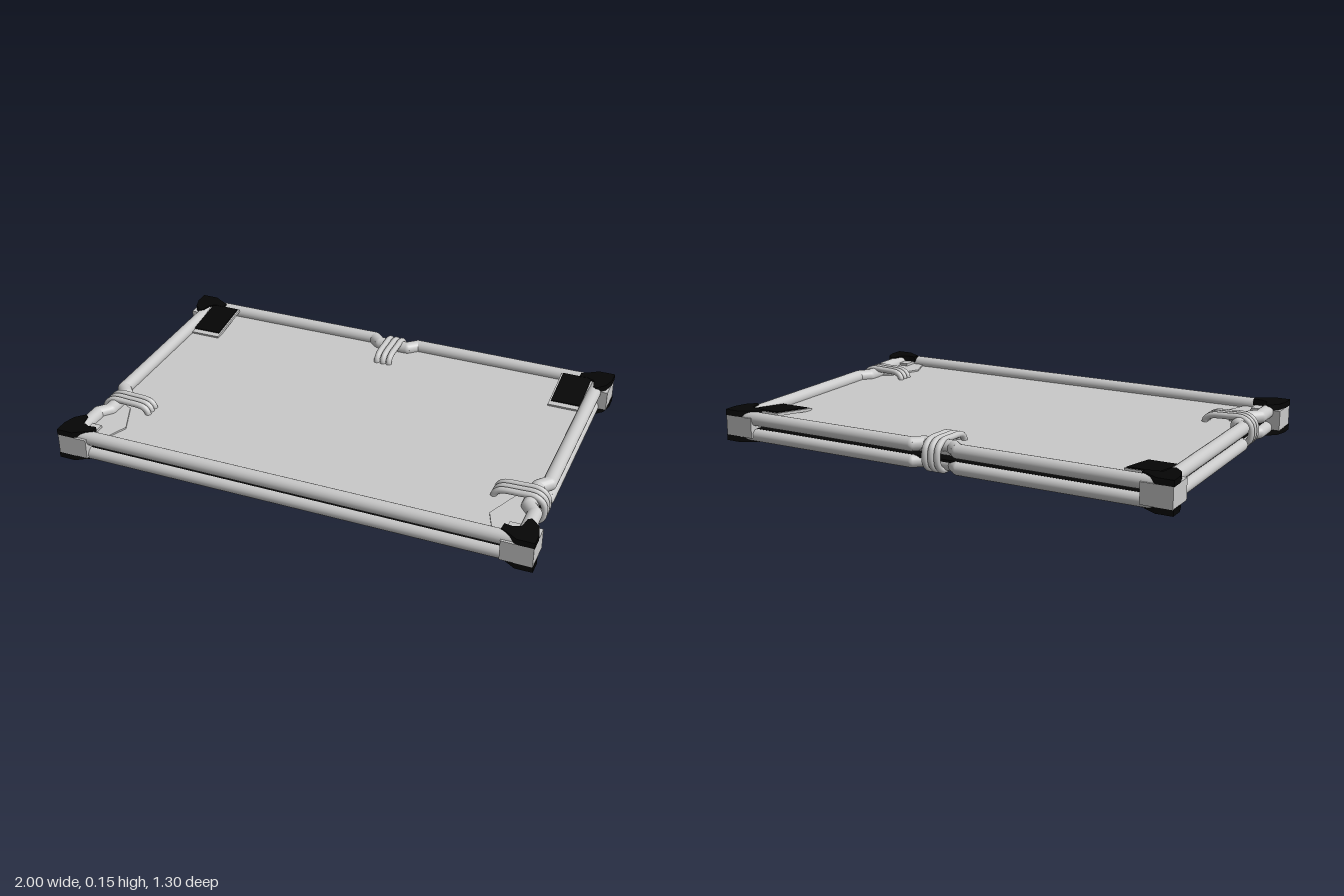
import * as THREE from 'three';

const grey = new THREE.MeshStandardMaterial({ color: 0xc9c9c9 });
grey.name = 'light grey';
const black = new THREE.MeshStandardMaterial({ color: 0x050505 });
black.name = 'black';

const MID = 0.071; // height about which the two layers mirror

function add(parent, name, geometry, material, x = 0, y = 0, z = 0) {
  const mesh = new THREE.Mesh(geometry, material);
  mesh.name = name;
  mesh.position.set(x, y, z);
  parent.add(mesh);
  return mesh;
}

// Flat slab from an outline in x,z, with its underside at y
function slab(parent, name, shape, material, y, height) {
  const g = new THREE.ExtrudeGeometry(shape, { depth: height, bevelEnabled: false, curveSegments: 32 });
  g.rotateX(-Math.PI / 2);
  return add(parent, name, g, material, 0, y, 0);
}
const outline = (pts) => new THREE.Shape(pts.map(([x, z]) => new THREE.Vector2(x, -z)));

// Pipe made of straight runs with round elbows
function pipe(parent, name, pts, y, r) {
  const group = new THREE.Group();
  group.name = name;
  parent.add(group);
  const p = pts.map(([x, z]) => new THREE.Vector3(x, y, z));
  for (let i = 0; i < p.length - 1; i++) {
    const dir = p[i + 1].clone().sub(p[i]);
    const run = add(group, name + 'Run', new THREE.CylinderGeometry(r, r, dir.length(), 20), grey);
    run.position.copy(p[i]).addScaledVector(dir, 0.5);
    run.quaternion.setFromUnitVectors(new THREE.Vector3(0, 1, 0), dir.normalize());
    if (i > 0) add(group, name + 'Elbow', new THREE.SphereGeometry(r, 20, 12), grey, p[i].x, y, p[i].z);
  }
}

// Three open cord loops round the frame edge, ending on the panels along local -x
function lashing(parent, name, x, z, turn) {
  const group = new THREE.Group();
  group.name = name;
  group.position.set(x, 0, z);
  group.rotation.y = turn;
  parent.add(group);
  const top = [[0, 0.1], [-0.03, 0.127], [-0.1, 0.129], [-0.175, 0.122], [-0.195, 0.103], [-0.197, 0.087]];
  const bottom = top.map(([a, b]) => [a, 2 * MID - b]).reverse();
  const path = new THREE.CatmullRomCurve3([...bottom, ...top].map(([a, b]) => new THREE.Vector3(a, b, 0)));
  for (const dz of [-0.028, 0, 0.028])
    add(group, 'cordLoop', new THREE.TubeGeometry(path, 60, 0.0135, 10), grey, 0, 0, dz);
}

export function createModel() {
  const model = new THREE.Group();
  model.name = 'lashedFramePanel';

  // Two stacked panels inside the frame
  add(model, 'topPanel', new THREE.BoxGeometry(1.87, 0.014, 1.22), grey, 0, 0.088, 0);
  add(model, 'bottomPanel', new THREE.BoxGeometry(1.87, 0.01, 1.22), black, 0, 0.057, 0);

  // Underside decoration: two concave grey fields and a hub
  const R = 0.46, h = 0.32, a = Math.asin(h / R);
  for (const s of [-1, 1]) {
    const field = new THREE.Shape();
    field.moveTo(s * 0.74, -h);
    field.lineTo(s * 0.74, h);
    field.lineTo(s * R * Math.cos(a), h);
    if (s > 0) field.absarc(0, 0, R, a, -a, true);
    else field.absarc(0, 0, R, Math.PI - a, Math.PI + a, false);
    slab(model, 'undersideField', field, grey, 0.05, 0.004);
  }
  slab(model, 'undersideHub', new THREE.Shape().absarc(0, 0, 0.055, 0, Math.PI * 2), grey, 0.05, 0.004);

  // Upper and lower pipe frames, with jogs where the cords pass
  for (const [level, y, r] of [['upper', 0.105, 0.029], ['lower', 0.036, 0.026]]) {
    pipe(model, level + 'FrontPipe', [[-0.94, 0.61], [0.94, 0.61]], y, r);
    pipe(model, level + 'BackPipe', [[-0.94, -0.614], [-0.105, -0.614], [-0.065, -0.578],
      [0.065, -0.578], [0.105, -0.614], [0.94, -0.614]], y, r);
    for (const s of [-1, 1])
      pipe(model, level + 'SidePipe', [[s * 0.94, -0.61], [s * 0.94, 0.215], [s * 0.906, 0.255],
        [s * 0.906, 0.39], [s * 0.94, 0.43], [s * 0.94, 0.61]], y, r);
  }

  // Cord lashings
  lashing(model, 'leftLashing', 0.955, 0.327, 0);
  lashing(model, 'rightLashing', -0.95, 0.315, Math.PI);
  lashing(model, 'backLashing', 0.003, -0.63, Math.PI / 2);

  for (const sx of [-1, 1]) {
    for (const sz of [-1, 1]) {
      // Corner blocks with ragged black caps
      add(model, 'cornerBlock', new THREE.BoxGeometry(0.128, 0.085, 0.128), grey,
        sx * 0.934, MID, sz * 0.584);
      const cap = outline([[1, 0.648], [1, 0.59], [0.985, 0.54], [0.95, 0.505], [0.935, 0.515], [0.927, 0.562],
        [0.895, 0.577], [0.862, 0.572], [0.86, 0.605], [0.9, 0.628], [0.93, 0.648]]
        .map(([x, z]) => [x * sx, z * sz]));
      slab(model, 'cornerCapTop', cap, black, 0.113, 0.025);
      slab(model, 'cornerCapBottom', cap, black, 0.005, 0.025);
    }

    // Patches at the back corners, sloping from the pipe to the panel
    for (const side of [1, -1]) {
      const patch = new THREE.Group();
      patch.name = 'backPatch';
      patch.position.set(sx * 0.85, MID + side * 0.041, -0.47);
      patch.rotation.x = side * 0.13;
      model.add(patch);
      add(patch, 'patchBase', new THREE.BoxGeometry(0.14, 0.012, 0.23), grey);
      add(patch, 'patchPad', new THREE.BoxGeometry(0.125, 0.006, 0.2), black, 0, side * 0.008, -0.01);
    }

    // Front corner gussets
    const gusset = outline([[0.91, 0.31], [0.84, 0.34], [0.78, 0.48], [0.82, 0.58], [0.91, 0.59]]
      .map(([x, z]) => [x * sx, z]));
    slab(model, 'frontGussetTop', gusset, grey, 0.092, 0.01);
    slab(model, 'frontGussetBottom', gusset, black, 0.043, 0.01);
  }
  return model;
}
